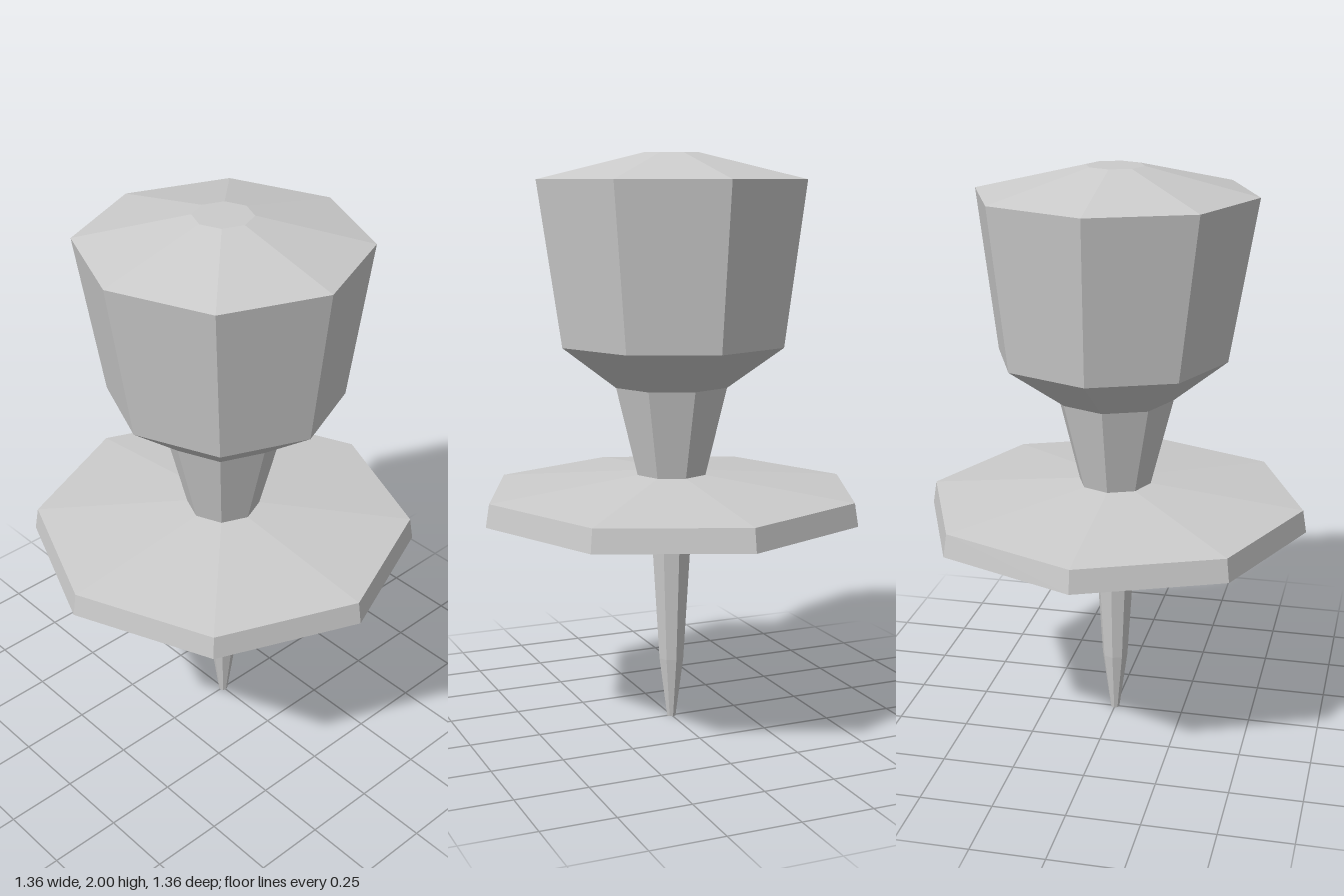
import * as THREE from 'three';

const SIDES = 8;

// Faceted turned part; profile rows are [radius, y] from bottom to top
function turned(name, profile, adjust) {
  const points = profile.map(([r, y]) => new THREE.Vector2(r, y));
  let geometry = new THREE.LatheGeometry(points, SIDES);
  if (adjust) adjust(geometry.attributes.position);
  geometry = geometry.toNonIndexed();
  geometry.computeVertexNormals();
  const mesh = new THREE.Mesh(
    geometry,
    new THREE.MeshStandardMaterial({ color: 0xcccccc, flatShading: true })
  );
  mesh.name = name;
  return mesh;
}

export function createModel() {
  const group = new THREE.Group();
  group.name = 'spinningTop';

  // Tapered point it stands on
  group.add(turned('spike', [[0, 0], [0.016, 0], [0.046, 0.22], [0.077, 0.71]]));

  // Wide flat disc with a slightly sloped rim
  group.add(turned('disc', [[0, 0.705], [0.077, 0.705], [0.678, 0.757], [0.665, 0.837], [0.128, 0.895], [0, 0.895]]));

  // Narrow neck flaring upwards
  group.add(turned('neck', [[0.128, 0.895], [0.206, 1.205]]));

  // Bulky knob with a shallow crown; its lower shoulder sits slightly off centre
  group.add(turned('knob', [[0.206, 1.205], [0.403, 1.352], [0.484, 1.91], [0.1, 2], [0, 2]], (pos) => {
    for (let i = 0; i < pos.count; i++) {
      if (Math.abs(pos.getY(i) - 1.352) < 0.001) pos.setX(i, pos.getX(i) + 0.012);
    }
  }));

  return group;
}
